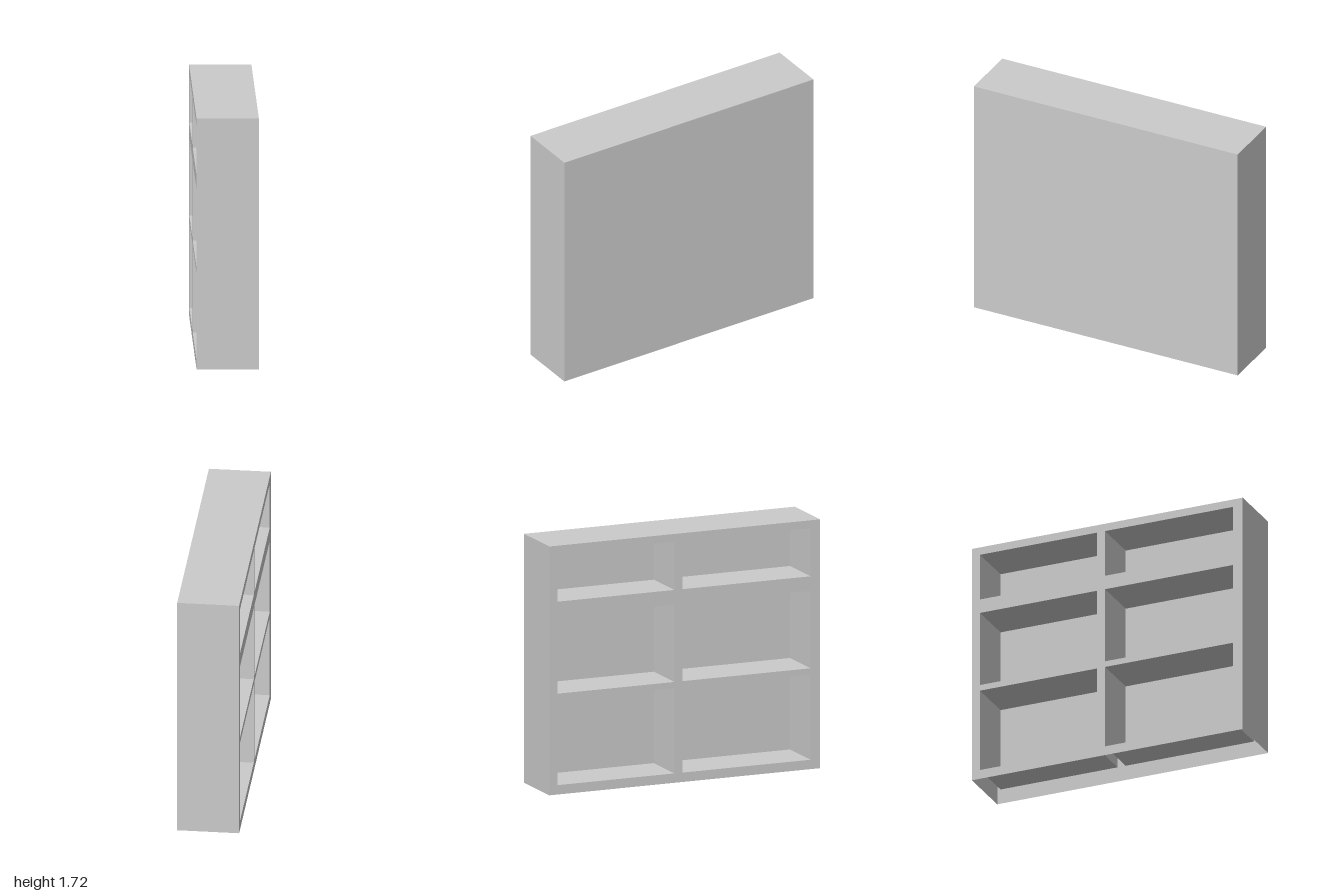
import * as THREE from 'three';

const W = 0.42, H = 1.72, D = 2;      // overall x, y, z
const DEPTH = 0.34;                   // cubby depth along x
const COLUMNS = [[-0.94, -0.076], [-0.016, 0.93]];               // z ranges
const ROWS = [[0.065, 0.655], [0.697, 1.233], [1.333, 1.665]];   // y ranges

// Thin-walled box with some faces left out (0 +x, 1 -x, 2 +y, 3 -y, 4 +z, 5 -z)
function openBox(w, h, d, omit) {
  const geometry = new THREE.BoxGeometry(w, h, d);
  const index = Array.from(geometry.index.array);
  geometry.setIndex(index.filter((_, i) => !omit.includes(Math.floor(i / 6))));
  geometry.clearGroups();
  return geometry;
}

function rectangle(target, z0, y0, z1, y1) {
  return target.moveTo(z0, y0).lineTo(z1, y0).lineTo(z1, y1).lineTo(z0, y1).closePath();
}

export function createModel() {
  const group = new THREE.Group();
  group.name = 'bookcase';
  const material = new THREE.MeshStandardMaterial({ color: 0xcccccc, side: THREE.DoubleSide });

  const add = (name, geometry, x, y, z) => {
    const mesh = new THREE.Mesh(geometry, material);
    mesh.name = name;
    mesh.position.set(x, y, z);
    group.add(mesh);
  };

  // Outer casing: back panel, two ends and top; hollow and open underneath
  add('casing', openBox(W, H, D, [1, 3]), 0, H / 2, 0);

  // Face frame with an opening for each cubby
  const frame = rectangle(new THREE.Shape(), -D / 2, 0, D / 2, H);

  COLUMNS.forEach(([z0, z1], c) => ROWS.forEach(([y0, y1], r) => {
    frame.holes.push(rectangle(new THREE.Path(), z0, y0, z1, y1));
    // Recessed cubby, open towards the face frame
    add(`cubby${c + 1}${r + 1}`, openBox(DEPTH, y1 - y0, z1 - z0, [1]),
      -W / 2 + DEPTH / 2, (y0 + y1) / 2, (z0 + z1) / 2);
  }));

  add('faceFrame', new THREE.ShapeGeometry(frame).rotateY(-Math.PI / 2), -W / 2, 0, 0);

  return group;
}
